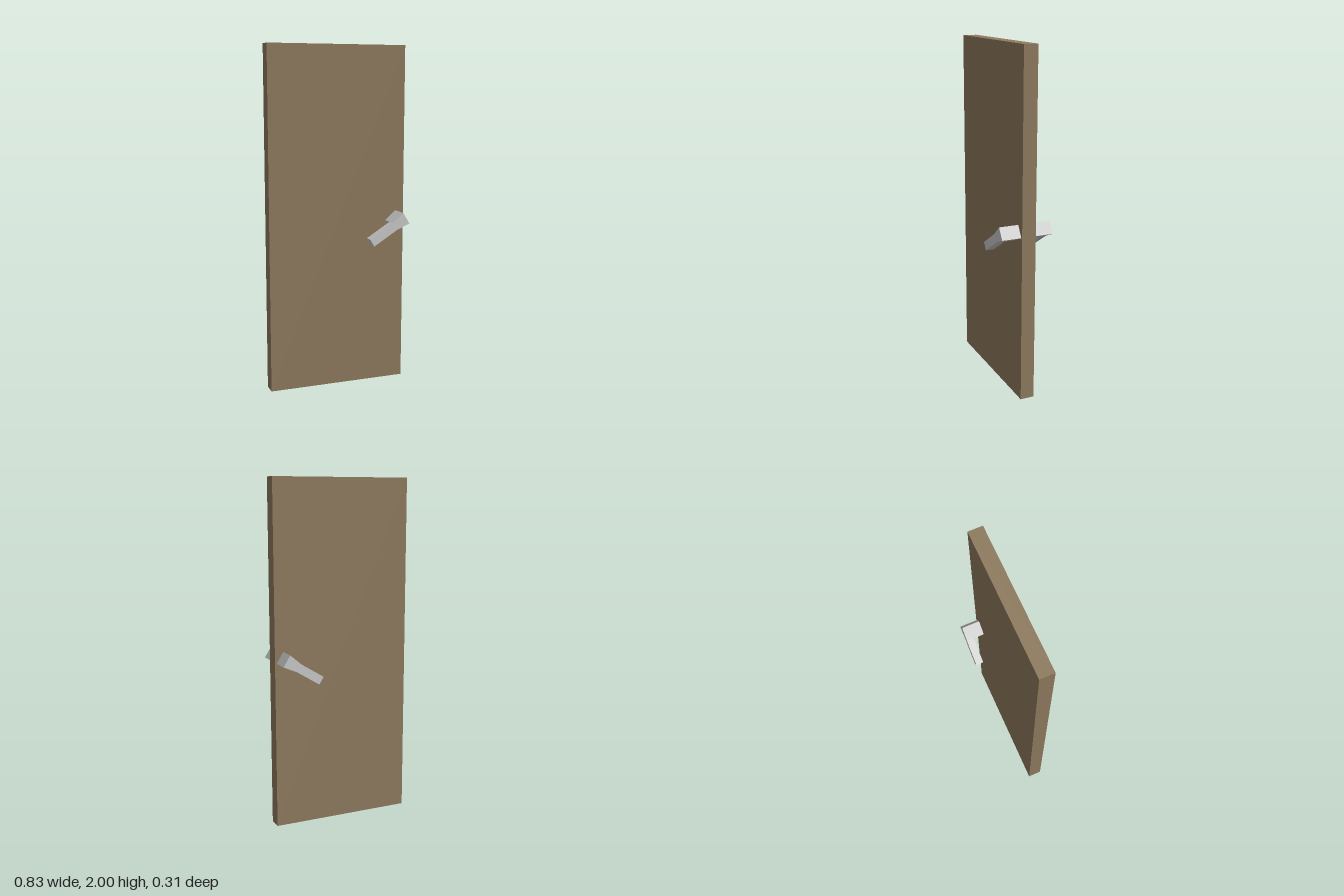
import * as THREE from 'three';

const wood = new THREE.MeshStandardMaterial({ color: 0x8f7b5f });
wood.name = 'brown wood';
const metal = new THREE.MeshStandardMaterial({ color: 0xcacaca });
metal.name = 'light grey metal';

const TILT = 0.557;   // lever slope
const END = 0.038;    // half width at the flared end
const BAR = 0.025;    // half width of the grip
const NECK = -0.086;  // where the flare meets the grip

// Extrude an outline, given along the lever, between two depths
function slab(name, points, z0, z1) {
  const shape = new THREE.Shape(points.map(([x, y]) => new THREE.Vector2(x, y)));
  const geo = new THREE.ExtrudeGeometry(shape, { depth: z1 - z0, bevelEnabled: false });
  geo.translate(0, 0, z0);
  const mesh = new THREE.Mesh(geo, metal);
  mesh.name = name;
  return mesh;
}

// One handle: flared shank out of the door, then a straight grip
function handle(name, inner, gripIn, gripOut, length) {
  const group = new THREE.Group();
  group.name = name;
  const [z0, z1] = [Math.min(inner, gripOut), Math.max(inner, gripOut)];
  group.add(slab('shank', [[NECK, -BAR], [0, -END], [0, END], [NECK, BAR]], z0, z1));
  const [g0, g1] = [Math.min(gripIn, gripOut), Math.max(gripIn, gripOut)];
  group.add(slab('grip', [[-length, -BAR], [NECK, -BAR], [NECK, BAR], [-length, BAR]], g0, g1));
  group.position.set(0.385, 1.0025, 0);
  group.rotation.z = TILT;
  return group;
}

export function createModel() {
  const model = new THREE.Group();
  model.name = 'door';

  // Door slab
  const panel = new THREE.Mesh(new THREE.BoxGeometry(0.83, 2, 0.082), wood);
  panel.name = 'doorPanel';
  panel.position.set(0, 1, -0.004);
  model.add(panel);

  // Handles on both faces
  model.add(handle('frontHandle', 0.036, 0.101, 0.151, 0.254));
  model.add(handle('backHandle', -0.044, -0.109, -0.154, 0.244));
  return model;
}
